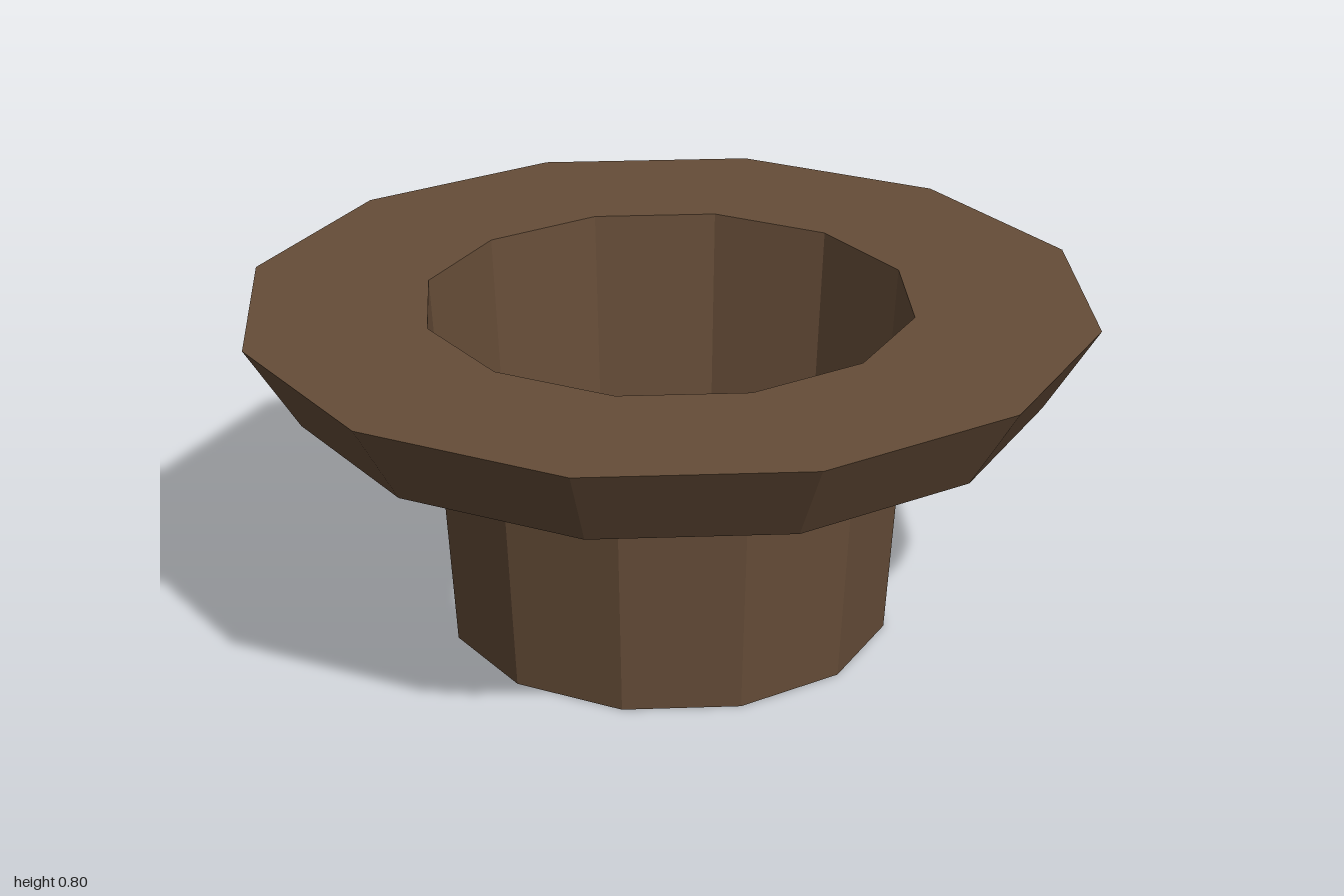
import * as THREE from 'three';

const SIDES = 12;

export function createModel() {
  const group = new THREE.Group();
  group.name = 'flangedCollar';

  const brown = new THREE.MeshStandardMaterial({
    color: 0x664d38, flatShading: true, side: THREE.DoubleSide,
  });
  brown.name = 'brown';

  // Turns a [radius, height] profile into a faceted shell
  const addRing = (name, profile) => {
    const points = profile.map(([r, y]) => new THREE.Vector2(r, y));
    const mesh = new THREE.Mesh(new THREE.LatheGeometry(points, SIDES), brown);
    mesh.name = name;
    group.add(mesh);
  };

  // Thin tapered sleeve, open at both ends
  addRing('sleeve', [[0.525, 0], [0.575, 0.8]]);
  // Slanted outer skirt, open underneath
  addRing('skirt', [[0.875, 0.6], [1, 0.8]]);
  // Flat ring joining the skirt to the sleeve
  addRing('topRing', [[1, 0.8], [0.575, 0.8]]);

  return group;
}
